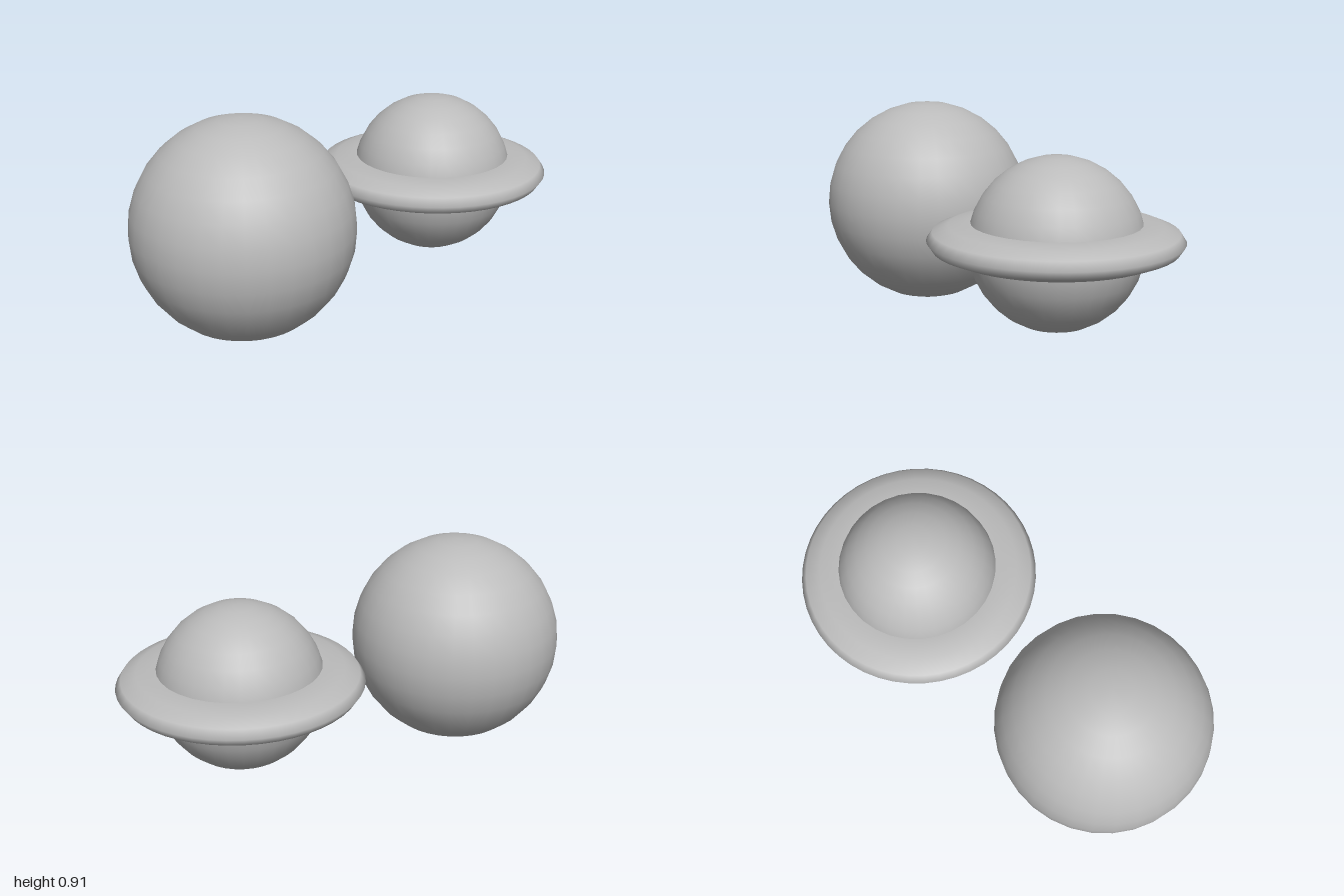
import * as THREE from 'three';

export function createModel() {
  const model = new THREE.Group();
  const grey = new THREE.MeshStandardMaterial({ color: 0xbbbbbb });
  grey.name = 'planet grey';

  function addPart(name, geometry, x, y) {
    const mesh = new THREE.Mesh(geometry, grey);
    mesh.name = name;
    mesh.position.set(x, y, 0);
    model.add(mesh);
  }

  // Large plain planet
  addPart('largePlanet', new THREE.SphereGeometry(0.456, 32, 16), -0.544, 0.458);

  // Smaller planet with a flattened ring around its middle
  addPart('ringedPlanet', new THREE.SphereGeometry(0.35, 32, 16), 0.495, 0.46);
  const ring = new THREE.TorusGeometry(0.339, 0.17, 12, 48);
  ring.rotateX(Math.PI / 2);
  ring.scale(1, 0.4, 1);
  addPart('planetRing', ring, 0.49, 0.477);

  return model;
}
